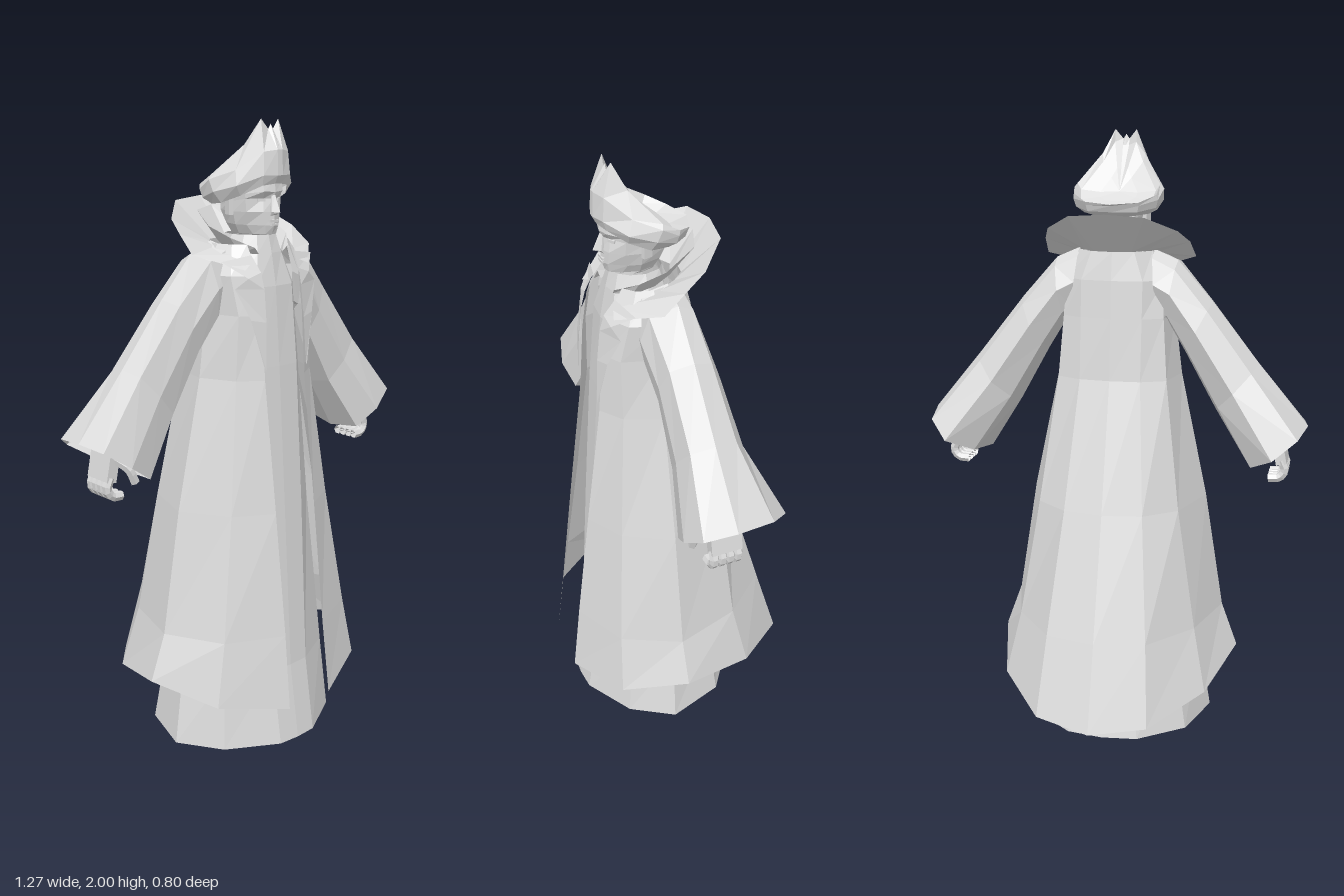
import * as THREE from 'three';

const cloth = new THREE.MeshStandardMaterial({ color: 0xdcdcdc, flatShading: true, side: THREE.DoubleSide });
cloth.name = 'paleGrey';

function add(parent, name, geo) {
  const mesh = new THREE.Mesh(geo, cloth);
  mesh.name = name;
  parent.add(mesh);
  return mesh;
}

// Skin between successive cross-sections of equal point count
function loft(rings, closed = true) {
  const n = rings[0].length, idx = [];
  for (let i = 0; i < rings.length - 1; i++) {
    for (let j = 0; j < (closed ? n : n - 1); j++) {
      const k = (j + 1) % n, a = i * n + j, b = i * n + k;
      idx.push(a, b, b + n, a, b + n, a + n);
    }
  }
  const g = new THREE.BufferGeometry();
  g.setAttribute('position', new THREE.Float32BufferAttribute(rings.flat(2), 3));
  g.setIndex(idx);
  const flat = g.toNonIndexed();
  flat.computeVertexNormals();
  return flat;
}

// Half outline from front to back, completed on the -x side
const mirror = half => [...half, ...half.filter(p => p[0] !== 0).reverse().map(([x, y, z]) => [-x, y, z])];
// Level half outline given as [x, z] pairs
const level = (y, half) => mirror(half.map(([x, z]) => [x, y, z]));

function tube(parent, name, pts, r, sides = 6) {
  const curve = new THREE.CatmullRomCurve3(pts.map(p => new THREE.Vector3(...p)));
  return add(parent, name, new THREE.TubeGeometry(curve, 7, r, sides, false));
}

function box(parent, name, w, h, d, x, y, z) {
  const m = add(parent, name, new THREE.BoxGeometry(w, h, d));
  m.position.set(x, y, z);
  return m;
}

function buildRobe(g) {
  add(g, 'innerRobe', loft([
    level(0, [[0, .35], [.075, .345], [.24, .25], [.33, .11], [.27, -.08], [.12, -.19], [0, -.205]]),
    level(.25, [[0, .31], [.075, .305], [.22, .23], [.29, .1], [.23, -.06], [.1, -.14], [0, -.15]]),
    level(.8, [[0, .272], [.08, .267], [.17, .2], [.21, .1], [.16, -.03], [.08, -.09], [0, -.1]]),
    level(1.25, [[0, .24], [.08, .235], [.13, .19], [.16, .1], [.13, 0], [.07, -.04], [0, -.045]]),
    level(1.5, [[0, .22], [.075, .213], [.12, .17], [.15, .1], [.12, .02], [.06, -.01], [0, -.02]]),
    level(1.6, [[0, .2], [.05, .19], [.085, .15], [.1, .1], [.075, .04], [.04, .01], [0, 0]]),
    level(1.655, [[0, .185], [.04, .175], [.065, .145], [.075, .1], [.06, .05], [.03, .03], [0, .025]]),
  ]));
}

function buildCoat(g) {
  const hem = mirror([[.09, .155, .4], [.31, .195, .3], [.42, .25, .1], [.345, .19, -.16], [.185, .14, -.355], [0, .12, -.4]]);
  add(g, 'coat', loft([
    hem,
    level(.4, [[.085, .37], [.27, .285], [.365, .1], [.3, -.12], [.165, -.28], [0, -.315]]),
    level(.8, [[.085, .32], [.21, .25], [.3, .1], [.235, -.09], [.13, -.17], [0, -.19]]),
    level(1.22, [[.085, .265], [.16, .215], [.21, .1], [.18, -.03], [.1, -.065], [0, -.072]]),
    level(1.42, [[.085, .25], [.15, .215], [.185, .1], [.165, -.01], [.1, -.045], [0, -.055]]),
    level(1.54, [[.085, .232], [.16, .19], [.19, .1], [.16, .01], [.1, -.035], [0, -.045]]),
    level(1.63, [[.085, .18], [.12, .15], [.135, .1], [.12, .03], [.07, -.02], [0, -.03]]),
  ], false));

  // Flared cape collar and smaller standing collar
  add(g, 'wideCollar', loft([
    mirror([[.1, 1.575, .215], [.13, 1.6, .16], [.125, 1.62, .08], [.1, 1.63, .02], [.06, 1.63, -.02], [0, 1.63, -.03]]),
    mirror([[.135, 1.56, .227], [.248, 1.605, .115], [.238, 1.66, .045], [.21, 1.7, -.03], [.12, 1.748, -.12], [0, 1.757, -.14]]),
  ], false));
  add(g, 'standingCollar', loft([
    mirror([[.05, 1.6, .195], [.085, 1.6, .15], [.095, 1.62, .08], [.065, 1.63, .02], [0, 1.63, -.01]]),
    mirror([[.07, 1.62, .2], [.12, 1.65, .14], [.135, 1.68, .06], [.09, 1.72, -.05], [0, 1.73, -.085]]),
  ], false));
}

// Sleeve section: outer and inner points in the front plane plus front and back depth, squarer at the front
function sleeveRing([xo, yo, xi, yi, zf, zb]) {
  const ridge = .05;
  const outline = [[1, 0], [.84, .8], [0, 1], [-.84, .85], [-1, 0], [-.75, -.62], [0, -1], [.75, -.62]];
  return outline.map(([c, s]) => [
    (xo + xi) / 2 + c * (xo - xi) / 2,
    (yo + yi) / 2 + c * (yo - yi) / 2,
    ridge + s * (s > 0 ? zf - ridge : ridge - zb),
  ]);
}

function buildSide(g) {
  add(g, 'sleeve', loft([
    [.12, 1.635, .14, 1.42, .16, -.02],
    [.2, 1.6, .17, 1.4, .165, -.03],
    [.315, 1.47, .23, 1.3, .145, -.05],
    [.47, 1.275, .33, 1.12, .145, -.075],
    [.635, 1.075, .44, .945, .18, -.16],
  ].map(sleeveRing)));

  // Forearm, palm and curled fingers
  tube(g, 'forearm', [[.36, 1.26, .05], [.45, 1.14, .05], [.54, 1.02, .05]], .035);
  const palm = box(g, 'palm', .035, .09, .1, .548, .995, .052);
  palm.rotation.z = .2;
  for (let i = 0; i < 4; i++) {
    const z = .014 + i * .026;
    tube(g, 'finger', [[.555, .965, z], [.568, .93, z], [.55, .905, z], [.515, .902, z]], .015, 6);
  }
  tube(g, 'thumb', [[.54, 1.02, .09], [.51, .99, .125], [.49, .945, .13]], .014, 5);

  // Folded lapel lying just above the coat front
  add(g, 'lapel', loft([
    [[.085, 1.25, .272], [.09, 1.25, .272]],
    [[.08, 1.4, .264], [.13, 1.41, .25]],
    [[.078, 1.5, .252], [.17, 1.505, .22]],
    [[.08, 1.55, .238], [.128, 1.535, .235]],
    [[.09, 1.6, .205], [.19, 1.585, .18]],
  ], false));

  // Leg and shoe under the robe
  tube(g, 'leg', [[.1, .7, .06], [.105, .4, .06], [.105, .05, .04]], .065);
  const foot = [[0, .21], [.045, .19], [.058, .08], [.045, -.03], [0, -.055]];
  const footRing = (y, s) => level(y, foot.map(([x, z]) => [x * s, .05 + (z - .05) * s])).map(([x, py, z]) => [x + .105, py, z]);
  add(g, 'shoe', loft([0, 0, .05, .1].map((y, i) => footRing(y, [.001, 1, .95, .6][i]))));
}

function buildHead(g) {
  add(g, 'head', loft([
    level(1.59, [[0, .165], [.03, .155], [.05, .13], [.05, .1], [.035, .06], [0, .05]]),
    level(1.65, [[0, .165], [.03, .155], [.05, .13], [.05, .1], [.035, .06], [0, .05]]),
    level(1.657, [[0, .2], [.022, .195], [.042, .16], [.055, .11], [.04, .06], [0, .045]]),
    level(1.685, [[0, .211], [.028, .2], [.06, .15], [.07, .11], [.05, .045], [0, .03]]),
    level(1.725, [[0, .211], [.035, .198], [.07, .16], [.08, .11], [.06, .03], [0, .015]]),
    mirror([[0, 1.765, .207], [.03, 1.765, .192], [.074, 1.765, .16], [.083, 1.755, .1], [.06, 1.74, .03], [0, 1.735, .015]]),
    mirror([[0, 1.785, .215], [.038, 1.787, .206], [.076, 1.78, .16], [.084, 1.765, .1], [.06, 1.745, .03], [0, 1.74, .015]]),
    mirror([[0, 1.82, .21], [.04, 1.815, .2], [.074, 1.79, .16], [.08, 1.77, .1], [.06, 1.75, .03], [0, 1.745, .015]]),
  ]));
  add(g, 'nose', loft([
    level(1.715, [[0, .212], [.014, .207], [.01, .195], [0, .19]]),
    level(1.725, [[0, .236], [.015, .214], [.01, .195], [0, .19]]),
    level(1.775, [[0, .213], [.008, .206], [.006, .195], [0, .19]]),
  ]));
  box(g, 'upperLip', .036, .007, .012, 0, 1.698, .207);
  box(g, 'lowerLip', .028, .007, .01, 0, 1.687, .209);
  for (const s of [-1, 1]) {
    box(g, 'eye', .024, .009, .008, s * .036, 1.761, .189).rotation.y = s * .5;
    box(g, 'ear', .014, .05, .03, s * .086, 1.74, .1).rotation.y = s * .3;
  }
}

function buildHat(g) {
  const base = mirror([[0, 1.81, .222], [.05, 1.805, .21], [.095, 1.775, .16], [.12, 1.752, .1], [.105, 1.745, .04], [.06, 1.74, 0], [0, 1.74, -.02]]);
  const middle = mirror([[0, 1.835, .235], [.055, 1.835, .22], [.115, 1.805, .165], [.143, 1.785, .09], [.13, 1.765, .025], [.08, 1.755, -.025], [0, 1.755, -.045]]);
  const bulge = mirror([[0, 1.91, .232], [.05, 1.905, .215], [.105, 1.85, .15], [.147, 1.822, .075], [.137, 1.79, .02], [.085, 1.775, -.03], [0, 1.775, -.055]]);
  const rim = mirror([[0, 1.985, .19], [.01, 1.97, .19], [.035, 2, .185], [.07, 1.925, .15], [.135, 1.835, .07], [.132, 1.805, .015], [.085, 1.785, -.035], [0, 1.78, -.065]]);
  // Extra point beside the centre so the lower rings match the notched rim
  const notch = ring => [ring[0], [.01, ring[0][1], ring[0][2]], ...ring.slice(1), [-.01, ring[0][1], ring[0][2]]];
  add(g, 'hatBrim', loft([...[base, middle, bulge].map(notch), rim]));
  // Hollow crown sunk behind the upturned front
  const inner = notch(mirror([[0, 1.95, .182], [.035, 1.96, .177], [.065, 1.9, .14], [.122, 1.815, .065], [.115, 1.787, .03], [.075, 1.768, .002], [0, 1.764, -.008]]));
  const floor = inner.map(([x, y, z]) => [x * .5, 1.8 + (y - 1.8) * .5, .08 + (z - .08) * .5]);
  add(g, 'hatCrown', loft([rim, inner, floor, inner.map(() => [0, 1.81, .08])]));
}

export function createModel() {
  const model = new THREE.Group();
  model.name = 'robedFigure';
  buildRobe(model);
  buildCoat(model);
  for (const s of [1, -1]) {
    const half = new THREE.Group();
    half.name = s > 0 ? 'leftSide' : 'rightSide';
    buildSide(half);
    half.scale.x = s;
    model.add(half);
  }
  buildHead(model);
  buildHat(model);
  return model;
}
